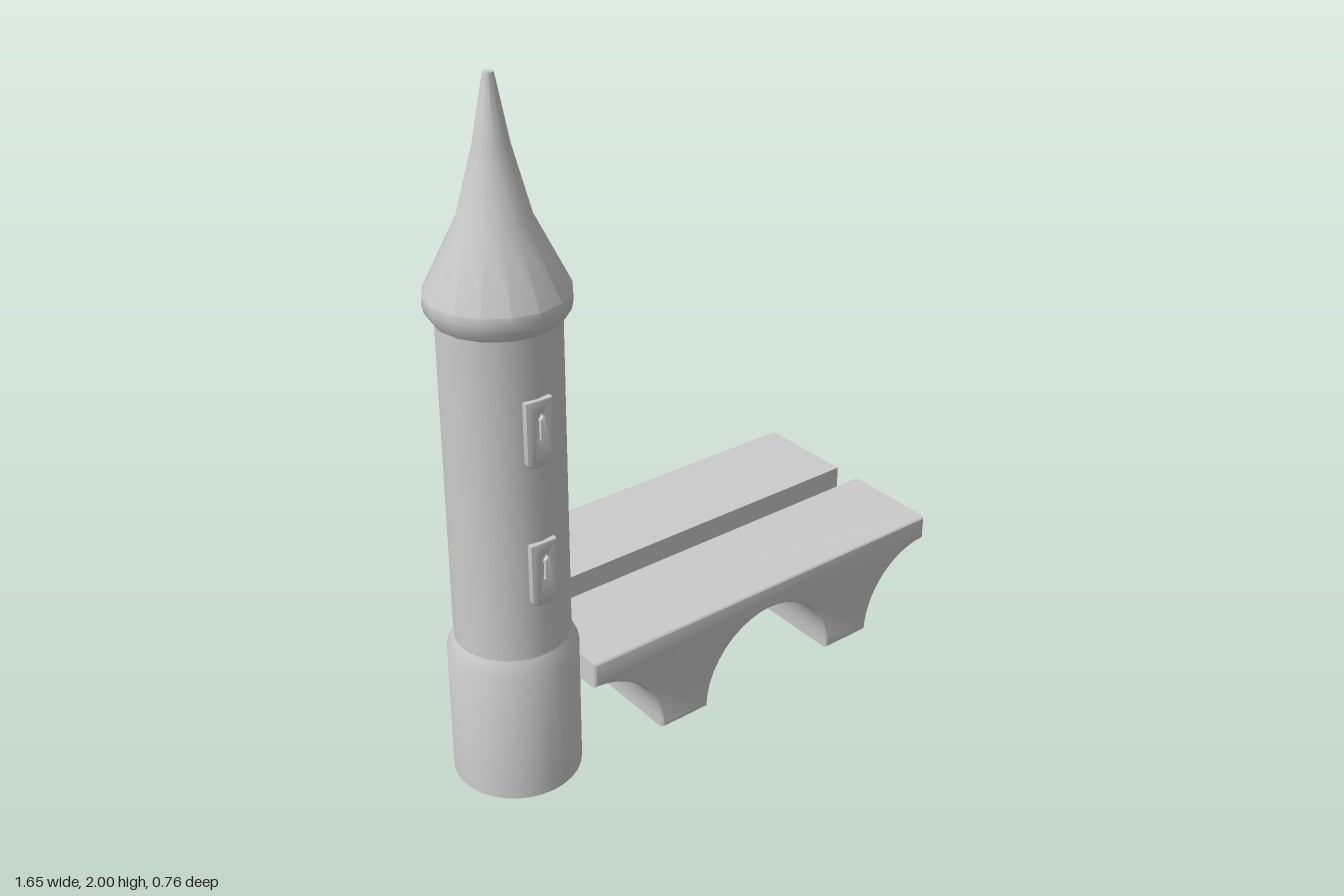
import * as THREE from 'three';
import { toCreasedNormals } from 'three/addons/utils/BufferGeometryUtils.js';

const grey = new THREE.MeshStandardMaterial({ color: 0xcccccc });

function part(name, geometry, x = 0, y = 0, z = 0) {
  const mesh = new THREE.Mesh(geometry, grey);
  mesh.name = name;
  mesh.position.set(x, y, z);
  return mesh;
}

function lathe(points, sides) {
  const geometry = new THREE.LatheGeometry(points.map(([r, y]) => new THREE.Vector2(r, y)), sides);
  return toCreasedNormals(geometry, 0.55);
}

// Side profile of the bridge: flat deck, one full arch between two half arches
function bridgeShape() {
  const left = -0.475, right = 0.825, mid = 0.175;
  const rx = 0.24, ry = 0.25, top = 0.33;
  const s = new THREE.Shape();
  s.moveTo(right, top);
  s.lineTo(left, top);
  s.lineTo(left, ry);
  s.absellipse(left, 0, rx, ry, Math.PI / 2, 0, true);
  s.absellipse(mid, 0, rx, ry, Math.PI, 0, true);
  s.absellipse(right, 0, rx, ry, Math.PI, Math.PI / 2, true);
  s.closePath();
  return s;
}

function bridge(name, z0, z1, bevel) {
  const geometry = new THREE.ExtrudeGeometry(bridgeShape(), {
    depth: z1 - z0 - 2 * bevel, curveSegments: 10,
    bevelEnabled: bevel > 0, bevelThickness: bevel, bevelSize: bevel,
    bevelOffset: -bevel, bevelSegments: 3,
  });
  return part(name, toCreasedNormals(geometry, 0.5), 0, 0, z0 + bevel);
}

// Narrow window plate with rounded lower corners and a keyhole-shaped slot
function windowFrame() {
  const w = 0.036, r = 0.02, h = 0.18;
  const s = new THREE.Shape();
  s.moveTo(-w, h);
  s.lineTo(-w, r);
  s.quadraticCurveTo(-w, 0, -w + r, 0);
  s.lineTo(w - r, 0);
  s.quadraticCurveTo(w, 0, w, r);
  s.lineTo(w, h);
  s.closePath();
  const slot = new THREE.Path();
  slot.moveTo(-0.006, 0.07);
  slot.lineTo(-0.006, 0.125);
  slot.absarc(0, 0.138, 0.014, Math.PI * 1.36, -Math.PI * 0.36, true);
  slot.lineTo(0.006, 0.07);
  slot.closePath();
  s.holes.push(slot);
  const geometry = new THREE.ExtrudeGeometry(s, {
    depth: 0.035, curveSegments: 6,
    bevelThickness: 0.005, bevelSize: 0.004, bevelSegments: 2,
  });
  return toCreasedNormals(geometry, 0.6);
}

export function createModel() {
  const model = new THREE.Group();
  model.name = 'towerAndBridges';

  const tower = new THREE.Group();
  tower.name = 'tower';
  tower.position.set(-0.638, 0, 0.19);

  // Wide base, sloped shoulder and slender shaft
  tower.add(part('base', lathe([[0, 0], [0.182, 0], [0.182, 0.4], [0.162, 0.445]], 32)));
  tower.add(part('shaft', lathe([[0.162, 0.44], [0.162, 1.4]], 20)));

  // Flared spire with a rounded eave
  tower.add(part('roof', lathe([
    [0, 1.38], [0.17, 1.38], [0.186, 1.405], [0.191, 1.43], [0.19, 1.45],
    [0.096, 1.64], [0.048, 1.82], [0.014, 2], [0, 2],
  ], 16)));

  // Two windows above each other on the front
  const frame = windowFrame();
  [['lowerWindow', 0.614], ['upperWindow', 1.024]].forEach(([name, y]) => {
    tower.add(part(name, frame, 0, y, 0.133));
  });
  model.add(tower);

  // Softened front bridge and crisp back bridge
  model.add(bridge('frontBridge', 0.025, 0.346, 0.012));
  model.add(bridge('backBridge', -0.38, -0.057, 0));
  return model;
}
